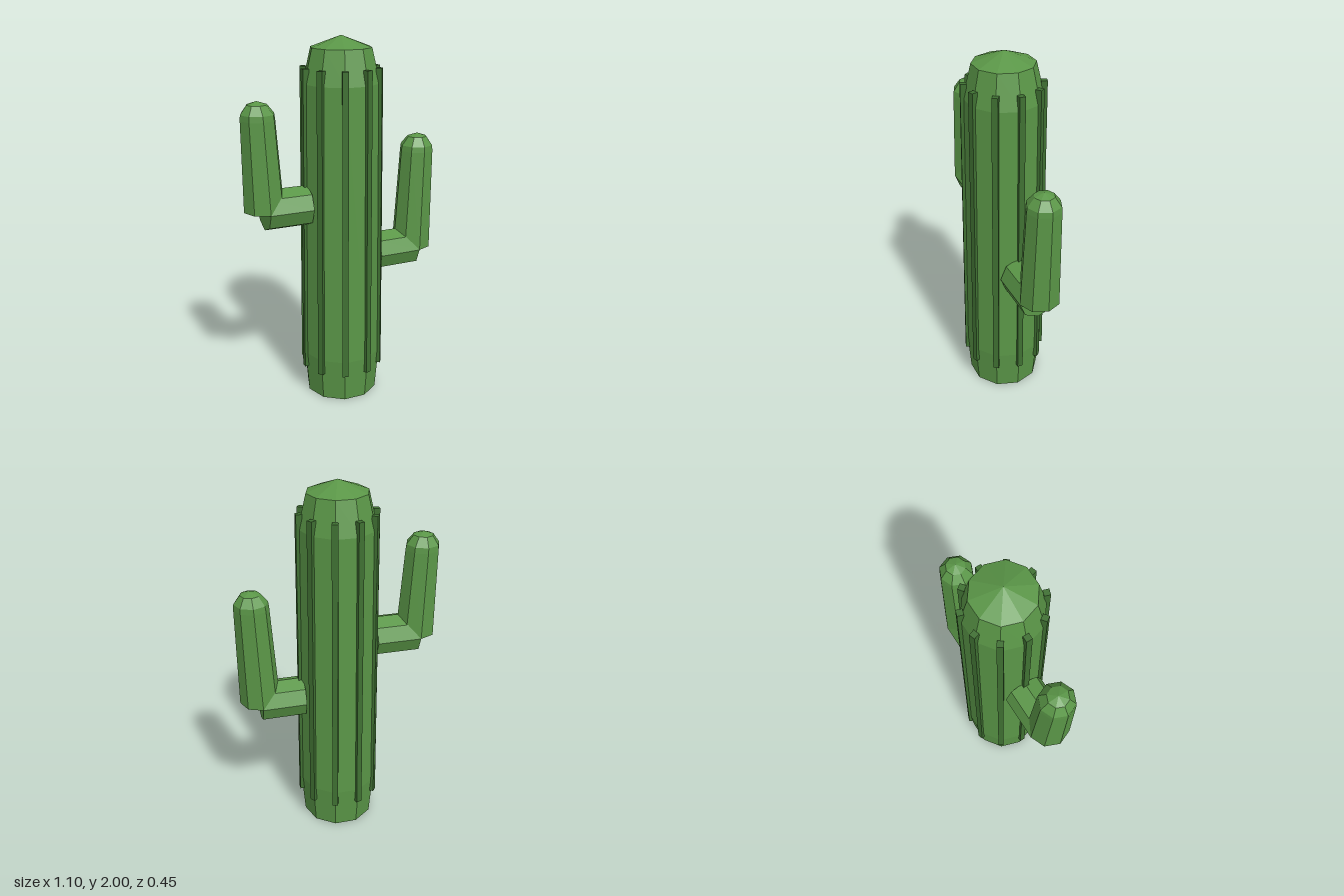
import * as THREE from 'three';

const skin = new THREE.MeshStandardMaterial({ color: 0x5a9647, flatShading: true });
skin.name = 'cactus green';
const dark = new THREE.MeshStandardMaterial({ color: 0x3f7032, flatShading: true });
dark.name = 'rib green';

function part(name, geometry, material) {
  const mesh = new THREE.Mesh(geometry, material);
  mesh.name = name;
  return mesh;
}

// Faceted solid of revolution with a corner on the +x axis
function turned(profile, sides) {
  const points = profile.map(([r, y]) => new THREE.Vector2(r, y));
  return new THREE.LatheGeometry(points, sides, Math.PI / 2);
}

// Elbowed arm: level stub plus a leaning, dome-topped upright; side is +1 or -1
function makeArm(name, side, y, height) {
  const arm = new THREE.Group();
  arm.name = name;

  const stubGeometry = new THREE.CylinderGeometry(0.11, 0.11, 0.24, 8);
  stubGeometry.rotateZ(Math.PI / 2);
  const stub = part('armStub', stubGeometry, skin);
  stub.position.set(side * 0.32, y, 0);

  const uprightGeometry = turned([
    [0, 0], [0.11, 0], [0.093, height - 0.095], [0.09, height - 0.065],
    [0.054, height - 0.018], [0, height],
  ], 8);
  // Lean outward while the base stays level
  const lean = side * 0.023 / height;
  uprightGeometry.applyMatrix4(new THREE.Matrix4().set(
    1, lean, 0, 0,
    0, 1, 0, 0,
    0, 0, 1, 0,
    0, 0, 0, 1,
  ));
  const upright = part('armUpright', uprightGeometry, skin);
  upright.position.set(side * 0.44, y, 0);

  arm.add(stub, upright);
  return arm;
}

export function createModel() {
  const cactus = new THREE.Group();
  cactus.name = 'cactus';

  // Trunk
  cactus.add(part('trunk', turned([
    [0, 0], [0.2, 0], [0.22, 0.24], [0.205, 1.76], [0.162, 1.94], [0, 2],
  ], 10), skin));

  // Ribs along the trunk corners, tilted slightly inward at the top
  const ribs = new THREE.Group();
  ribs.name = 'ribs';
  const ribGeometry = new THREE.BoxGeometry(0.032, 1.68, 0.032);
  ribGeometry.rotateZ(0.0085);
  ribGeometry.translate(0.208, 1, 0);
  for (let i = 0; i < 10; i++) {
    const rib = part('rib', ribGeometry, dark);
    rib.rotation.y = (i * Math.PI) / 5;
    ribs.add(rib);
  }
  cactus.add(ribs);

  // Arms
  cactus.add(makeArm('leftArm', 1, 0.8, 0.655));
  cactus.add(makeArm('rightArm', -1, 1.12, 0.575));

  return cactus;
}
